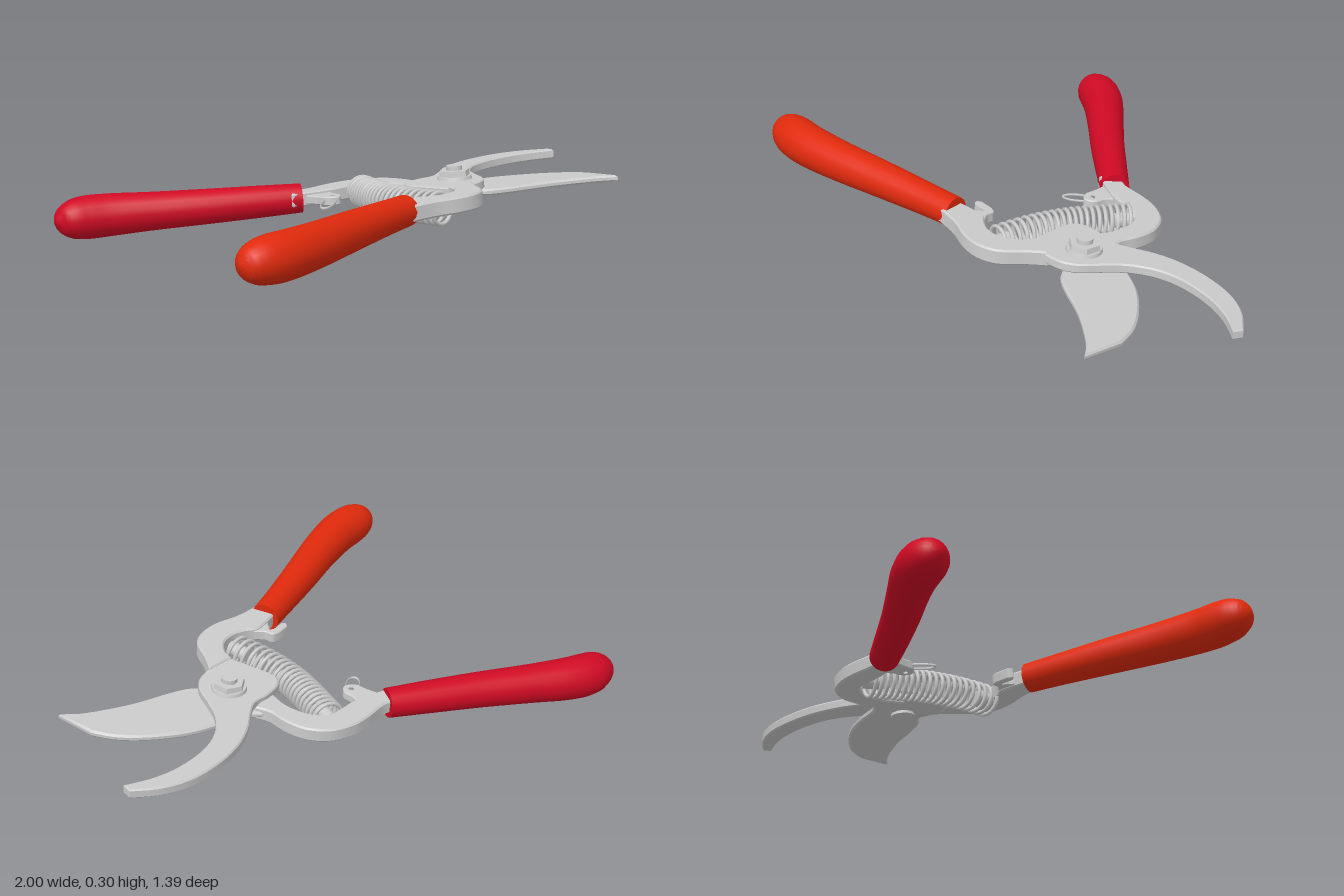
import * as THREE from 'three';
import { toCreasedNormals } from 'three/addons/utils/BufferGeometryUtils.js';

const metal = new THREE.MeshStandardMaterial({ color: 0xcccccc });
const orange = new THREE.MeshStandardMaterial({ color: 0xe02a0c });
const red = new THREE.MeshStandardMaterial({ color: 0xd00a24 });

function add(parent, name, geometry, material = metal) {
  const mesh = new THREE.Mesh(geometry, material);
  mesh.name = name;
  parent.add(mesh);
  return mesh;
}

// Flat plate in the x-z plane. Each run of points is a smooth curve; runs join at corners.
function plate(runs, bottom, top, bevel = 0.006, holes = []) {
  const pts = runs.flatMap(run => {
    const v = run.map(p => new THREE.Vector2(...p));
    return v.length > 2 ? new THREE.SplineCurve(v).getPoints(v.length * 4) : v;
  });
  const shape = new THREE.Shape(pts);
  for (const [x, z, r] of holes) shape.holes.push(new THREE.Path().absarc(x, z, r, 0, Math.PI * 2, true));
  const g = new THREE.ExtrudeGeometry(shape, {
    depth: top - bottom - 2 * bevel, bevelEnabled: true, curveSegments: 12,
    bevelThickness: bevel, bevelSize: bevel, bevelOffset: -bevel, bevelSegments: 1,
  });
  g.rotateX(Math.PI / 2).translate(0, top - bevel, 0);
  return toCreasedNormals(g, 0.5);
}

// Round grip swept along points [x, z, radius] at height y
function grip(points, y, rings = 48, sides = 20) {
  const curve = new THREE.CatmullRomCurve3(points.map(([x, z, r]) => new THREE.Vector3(x, r, z)));
  const pos = [], index = [];
  for (let i = 0; i <= rings; i++) {
    const t = Math.max(0, i - 1) / (rings - 1);
    const p = curve.getPoint(t), d = curve.getTangent(t);
    const len = Math.hypot(d.x, d.z) || 1;
    const r = i === 0 || i === rings ? 0 : p.y; // closed at both ends
    for (let j = 0; j < sides; j++) {
      const a = j / sides * Math.PI * 2, c = Math.cos(a) * r;
      pos.push(p.x - d.z / len * c, y + Math.sin(a) * r, p.z + d.x / len * c);
      if (i < rings) {
        const k = (j + 1) % sides, n = i * sides, m = n + sides;
        index.push(n + j, m + j, n + k, n + k, m + j, m + k);
      }
    }
  }
  const g = new THREE.BufferGeometry();
  g.setAttribute('position', new THREE.Float32BufferAttribute(pos, 3));
  g.setIndex(index);
  return toCreasedNormals(g, 0.9);
}

// Helical spring wound around a curved axis
class Coil extends THREE.Curve {
  constructor(axis, radius, turns) {
    super();
    Object.assign(this, { axis, radius, turns });
  }
  getPoint(t, target = new THREE.Vector3()) {
    const p = this.axis.getPoint(t), d = this.axis.getTangent(t);
    const a = t * this.turns * Math.PI * 2;
    const side = new THREE.Vector3(-d.z, 0, d.x).normalize().multiplyScalar(Math.cos(a) * this.radius);
    return target.copy(p).add(side).setY(p.y + Math.sin(a) * this.radius);
  }
}

export function createModel() {
  const model = new THREE.Group();
  model.name = 'pruningShears';
  // The tool lies slightly tilted
  const body = new THREE.Group();
  body.name = 'shearsBody';
  body.rotation.x = -0.09;
  model.add(body);

  // Grips
  add(body, 'frontGrip', grip([
    [-0.12, 0.447, 0.054], [-0.25, 0.478, 0.058], [-0.45, 0.53, 0.066], [-0.65, 0.585, 0.073],
    [-0.8, 0.615, 0.078], [-0.88, 0.619, 0.078], [-0.94, 0.616, 0.068], [-0.98, 0.613, 0.045], [-1, 0.612, 0.008],
  ], 0.172), orange);
  add(body, 'rearGrip', grip([
    [-0.015, -0.182, 0.053], [-0.13, -0.26, 0.058], [-0.3, -0.378, 0.064], [-0.46, -0.497, 0.07],
    [-0.58, -0.583, 0.077], [-0.65, -0.62, 0.078], [-0.7, -0.634, 0.07], [-0.74, -0.643, 0.048], [-0.765, -0.645, 0.008],
  ], 0.143), red);

  // Front arm: thick curved bar leading to the pivot, with a latch catch
  add(body, 'frontArm', plate([
    [[-0.16, 0.5], [-0.04, 0.51], [0.05, 0.535], [0.13, 0.537], [0.2, 0.505], [0.25, 0.43], [0.3, 0.365]],
    [[0.19, 0.355], [0.175, 0.395], [0.13, 0.435], [0.07, 0.442], [0.02, 0.425], [-0.03, 0.4], [-0.16, 0.42]],
  ], 0.14, 0.197));
  add(body, 'latchCatch', plate([
    [[-0.11, 0.43], [-0.07, 0.39]],
    [[-0.07, 0.385], [-0.055, 0.375], [-0.065, 0.365]],
    [[-0.115, 0.368], [-0.128, 0.355], [-0.115, 0.338]],
    [[-0.06, 0.335], [-0.035, 0.345], [-0.03, 0.375], [-0.01, 0.4]],
    [[0.02, 0.44]],
  ], 0.148, 0.188, 0.004));

  // Pivot plate and hooked counter jaw
  add(body, 'hookJaw', plate([
    [[0.19, 0.36], [0.168, 0.2]],
    [[0.17, 0.17], [0.2, 0.135], [0.27, 0.123], [0.34, 0.128], [0.4, 0.1], [0.48, 0.05], [0.58, 0.013],
      [0.7, 0], [0.82, 0.012], [0.92, 0.055], [1, 0.122]],
    [[0.99, 0.157], [0.9, 0.113], [0.8, 0.088], [0.68, 0.087], [0.58, 0.115], [0.5, 0.175],
      [0.45, 0.25], [0.41, 0.32], [0.36, 0.36], [0.29, 0.375]],
  ], 0.155, 0.19, 0.005));

  // Rear arm: thick curved bar
  add(body, 'rearArm', plate([
    [[-0.05, -0.235], [0.02, -0.2], [0.12, -0.2], [0.2, -0.19], [0.28, -0.15], [0.328, -0.08],
      [0.338, 0], [0.33, 0.07], [0.345, 0.125]],
    [[0.23, 0.15], [0.255, 0.08], [0.26, 0.02], [0.245, -0.045], [0.205, -0.09], [0.14, -0.1], [0.06, -0.11], [-0.08, -0.16]],
  ], 0.118, 0.17));

  // Broad cutting blade under the hook jaw
  add(body, 'cuttingBlade', plate([
    [[0.2, 0.34], [0.19, 0.22], [0.24, 0.11]],
    [[0.33, 0.09], [0.39, 0.14], [0.5, 0.175], [0.6, 0.222], [0.7, 0.3], [0.77, 0.38], [0.808, 0.46]],
    [[0.808, 0.61], [0.74, 0.55], [0.6, 0.47], [0.46, 0.415], [0.39, 0.38], [0.34, 0.335], [0.27, 0.36]],
  ], 0.131, 0.155, 0.007));

  // Pivot bolt: [name, radius, sides, bottom, top]
  for (const [name, r, sides, y0, y1] of [
    ['pivotWasher', 0.064, 24, 0.188, 0.202],
    ['pivotNut', 0.058, 6, 0.2, 0.222],
    ['pivotBolt', 0.03, 16, 0.12, 0.238],
    ['pivotRivetHead', 0.045, 20, 0.12, 0.133],
  ]) {
    const g = new THREE.CylinderGeometry(r * 0.94, r, y1 - y0, sides);
    add(body, name, toCreasedNormals(g, 0.6)).position.set(0.34, (y0 + y1) / 2, 0.245);
  }

  // Latch lug and wire loop on the rear arm
  add(body, 'latchLug', plate([
    [[-0.03, -0.14], [-0.022, -0.09], [-0.018, -0.045], [0.015, -0.018], [0.047, -0.04], [0.052, -0.08], [0.07, -0.12]],
  ], 0.126, 0.158, 0.004, [[0.018, -0.05, 0.014]]));
  const loop = add(body, 'latchLoop', new THREE.TorusGeometry(0.056, 0.005, 6, 32));
  loop.geometry.rotateX(Math.PI / 2).scale(1, 1, 0.42);
  loop.position.set(-0.03, 0.14, -0.023);
  loop.rotation.set(0, 0.5, 0.15);

  // Spring bowed between the two arms, with a seat post at each end
  const axis = new THREE.CatmullRomCurve3([
    [0.192, -0.08], [0.145, 0.03], [0.105, 0.14], [0.083, 0.27], [0.08, 0.43],
  ].map(([x, z]) => new THREE.Vector3(x, 0.142, z)));
  add(body, 'spring', new THREE.TubeGeometry(new Coil(axis, 0.054, 21), 460, 0.0075, 6));
  for (const [name, t0, t1] of [['rearSpringPost', 0, 0.09], ['frontSpringPost', 0.92, 1]]) {
    const path = new THREE.LineCurve3(axis.getPoint(t0), axis.getPoint(t1));
    const post = add(body, name, new THREE.CylinderGeometry(0.026, 0.026, path.getLength() + 0.03, 14));
    post.position.copy(path.getPoint(0.5));
    post.quaternion.setFromUnitVectors(new THREE.Vector3(0, 1, 0), path.getTangent(0));
  }
  return model;
}
